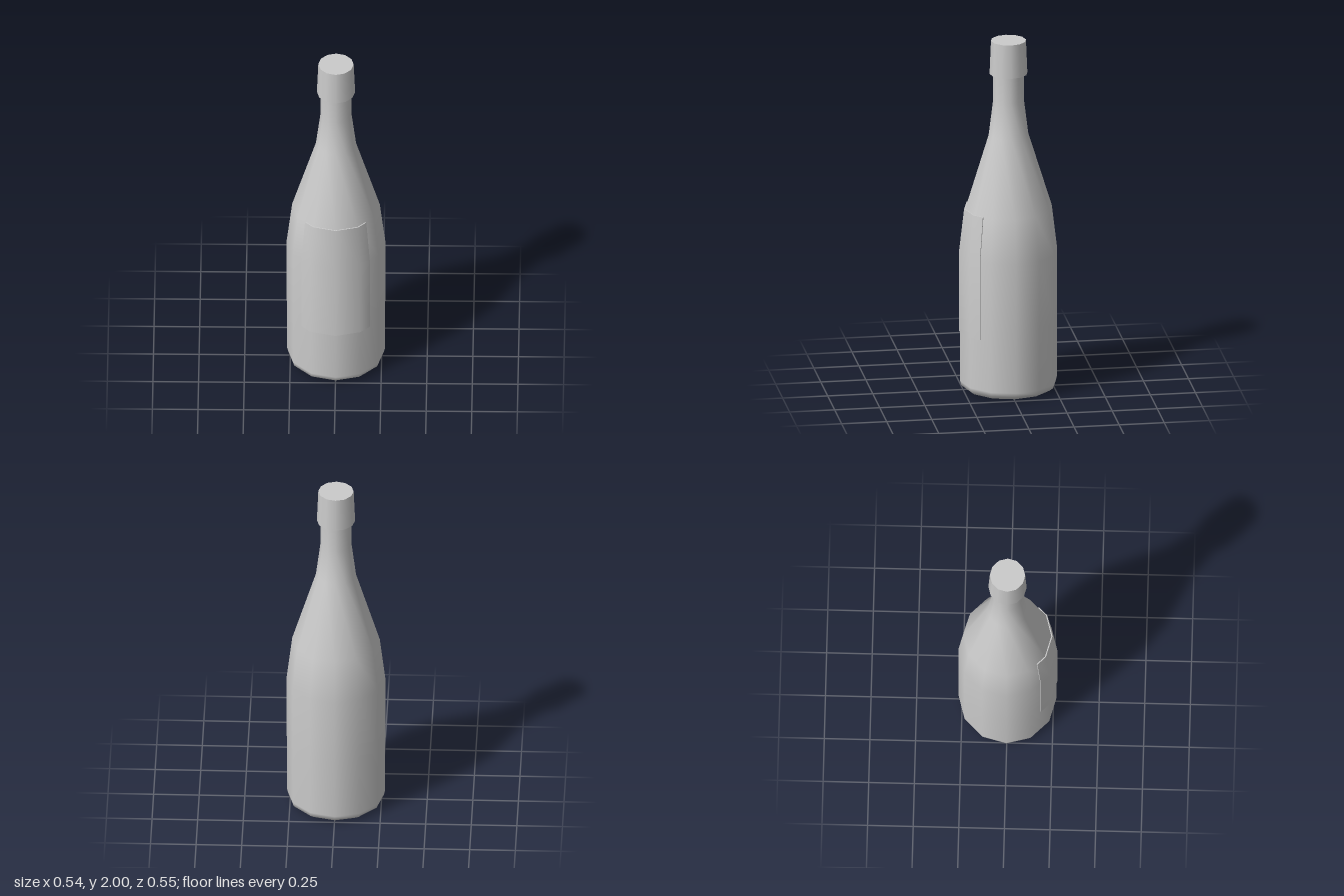
import * as THREE from 'three';
import { toCreasedNormals } from 'three/addons/utils/BufferGeometryUtils.js';

const SIDES = 12;
const material = new THREE.MeshStandardMaterial({ color: 0xcccccc });
const points = (list) => list.map(([r, y]) => new THREE.Vector2(r, y));

// Curved label wrapping the front quarter, following the bottle's facets
function createLabelGeometry() {
  const inner = [0.268, 0.268, 0.268, 0.238, 0.238];
  const outer = [[0.268, 0.34], [0.275, 0.34], [0.275, 0.79], [0.246, 1.04], [0.238, 1.04]];
  const angles = [-45, -45, -30, 0, 30, 45, 45];
  const geometry = new THREE.LatheGeometry(points(outer), angles.length - 1);
  const position = geometry.attributes.position;
  angles.forEach((degrees, i) => {
    const a = THREE.MathUtils.degToRad(degrees);
    const isEnd = i === 0 || i === angles.length - 1;
    // ends lie in the middle of a facet, where the bottle is narrower
    const k = Math.abs(degrees) === 45 ? Math.cos(Math.PI / SIDES) : 1;
    outer.forEach(([r, y], j) => {
      const radius = (isEnd ? inner[j] : r) * k;
      position.setXYZ(i * outer.length + j, Math.sin(a) * radius, y, Math.cos(a) * radius);
    });
  });
  return toCreasedNormals(geometry, THREE.MathUtils.degToRad(40));
}

export function createModel() {
  const group = new THREE.Group();
  group.name = 'bottle';
  const add = (name, geometry) => {
    const mesh = new THREE.Mesh(geometry, material);
    mesh.name = name;
    mesh.position.z = -0.002;
    group.add(mesh);
    return mesh;
  };

  // Glass body with a hollow punt underneath
  add('glassBody', new THREE.LatheGeometry(points([
    [0, 0.18], [0.05, 0.165], [0.14, 0.06], [0.19, 0.012], [0.215, 0], [0.24, 0.008],
    [0.262, 0.025], [0.268, 0.05], [0.27, 0.4], [0.27, 0.79], [0.24, 1.04],
    [0.11, 1.46], [0.085, 1.66], [0.085, 1.85],
  ]), SIDES));

  // Tapered cap over the mouth
  add('cap', new THREE.CylinderGeometry(0.097, 0.105, 0.19, SIDES)).position.y = 1.905;

  add('frontLabel', createLabelGeometry());
  return group;
}
